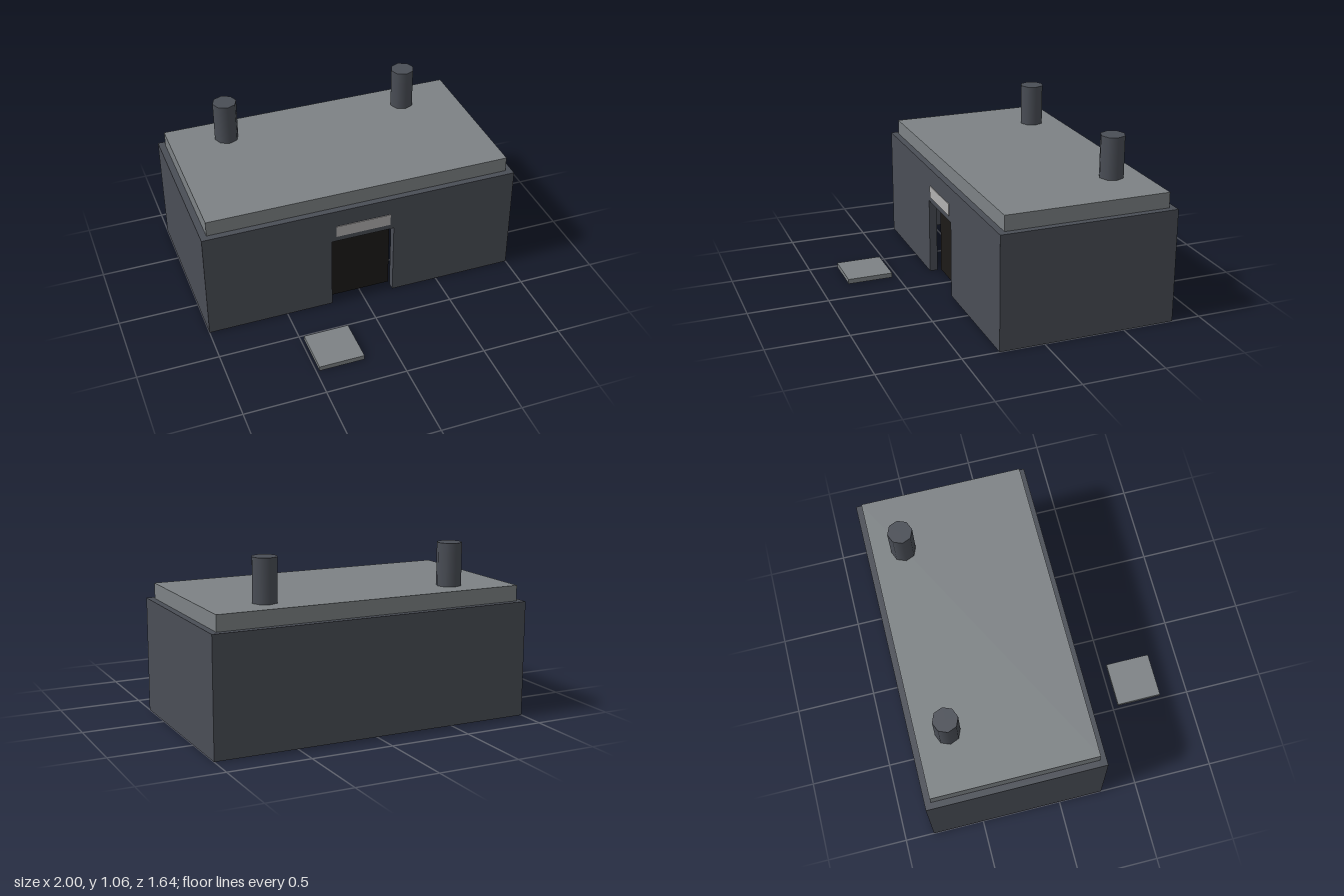
import * as THREE from 'three';

const WALL = 0x4a4e56, SLAB = 0x7d8285, DOOR = 0x1c1a18, SIGN = 0xb2b0b0;

function mesh(name, geometry, color) {
  const m = new THREE.Mesh(geometry, new THREE.MeshStandardMaterial({ color }));
  m.name = name;
  return m;
}

// Box given by its extents on each axis
function block(name, color, [x0, x1], [y0, y1], [z0, z1]) {
  const m = mesh(name, new THREE.BoxGeometry(x1 - x0, y1 - y0, z1 - z0), color);
  m.position.set((x0 + x1) / 2, (y0 + y1) / 2, (z0 + z1) / 2);
  return m;
}

export function createModel() {
  const model = new THREE.Group();
  model.name = 'bunkerHouse';
  const front = 0.275, back = -0.82, height = 0.705, t = 0.05;

  // Front wall with a doorway notch
  const outline = [[-1, 0], [-0.205, 0], [-0.205, 0.485], [0.2, 0.485], [0.2, 0], [1, 0], [1, height], [-1, height]];
  const shape = new THREE.Shape(outline.map(([x, y]) => new THREE.Vector2(x, y)));
  const frontWall = mesh('frontWall', new THREE.ExtrudeGeometry(shape, { depth: t, bevelEnabled: false }), WALL);
  frontWall.position.z = front - t;
  model.add(frontWall);

  // Back and side walls, open underneath
  model.add(block('backWall', WALL, [-1, 1], [0, height], [back, back + t]));
  model.add(block('leftWall', WALL, [1 - t, 1], [0, height], [back + t, front - t]));
  model.add(block('rightWall', WALL, [-1, -1 + t], [0, height], [back + t, front - t]));

  // Roof slab, inset from the wall faces
  model.add(block('roof', SLAB, [-0.96, 0.96], [0.7, 0.8], [-0.782, 0.235]));

  // Recessed door, sign plate above it, and loose paving slab
  model.add(block('door', DOOR, [-0.205, 0.2], [0, 0.487], [0.17, 0.2]));
  model.add(block('signPlate', SIGN, [-0.175, 0.175], [0.52, 0.595], [0.26, 0.28]));
  model.add(block('pavingSlab', SLAB, [-0.48, -0.197], [0, 0.03], [0.535, 0.82]));

  // Chimneys run from the ground up through the roof
  for (const [name, x] of [['leftChimney', 0.595], ['rightChimney', -0.6]]) {
    const chimney = mesh(name, new THREE.CylinderGeometry(0.076, 0.076, 1.06, 8), WALL);
    chimney.position.set(x, 0.53, -0.592);
    model.add(chimney);
  }
  return model;
}
